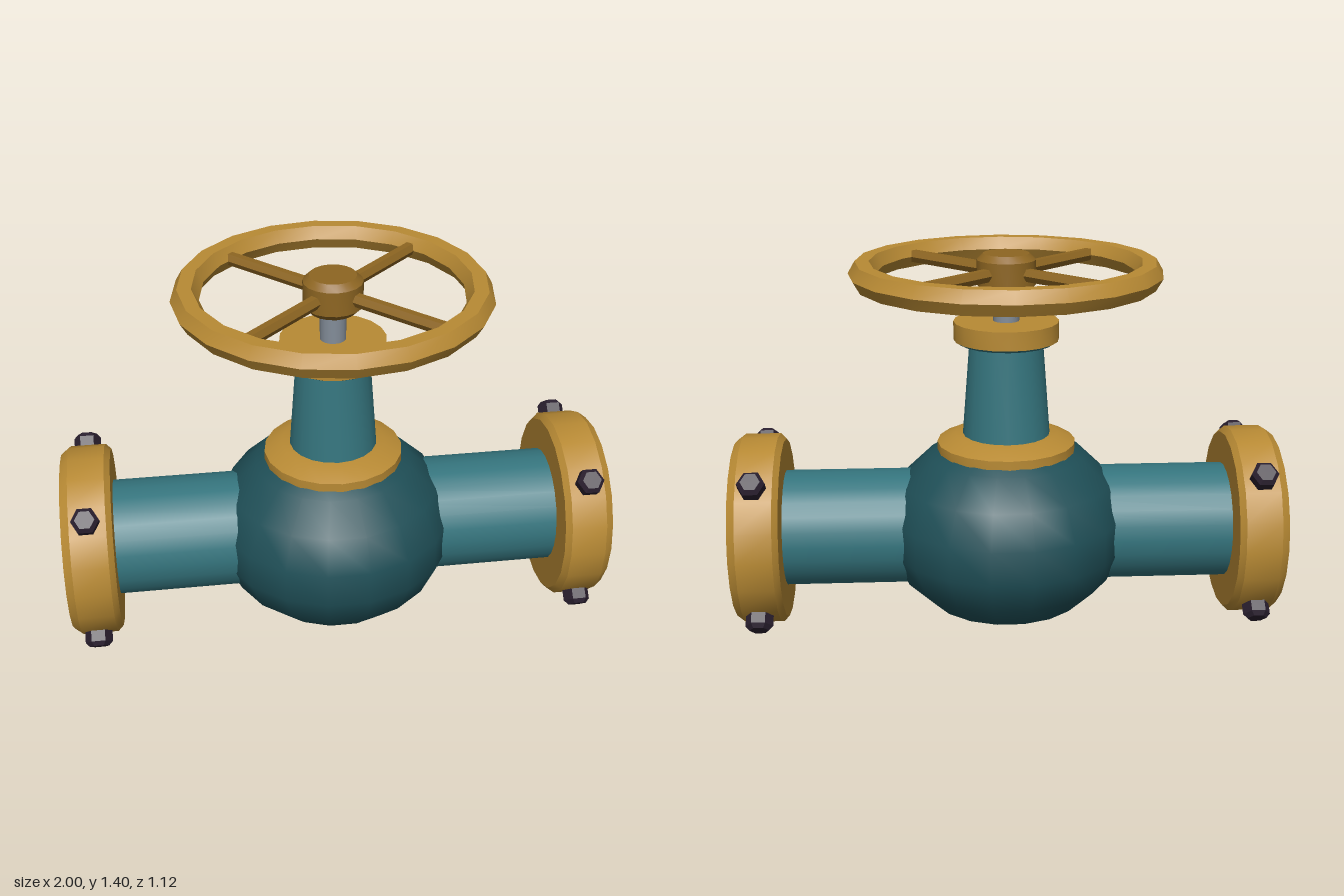
import * as THREE from 'three';
import { toCreasedNormals } from 'three/addons/utils/BufferGeometryUtils.js';

function mat(name, color) {
  const m = new THREE.MeshStandardMaterial({ color });
  m.name = name;
  return m;
}

// Solid of revolution from [radius, height] pairs, listed bottom to top
function turned(profile, sides) {
  const points = profile.map(([r, y]) => new THREE.Vector2(r, y));
  return toCreasedNormals(new THREE.LatheGeometry(points, sides), 0.5);
}

export function createModel() {
  const brass = mat('brass', 0xb88a34);
  const darkBrass = mat('dark brass', 0x8e6622);
  const teal = mat('teal', 0x35757e);
  const deepTeal = mat('deep teal', 0x1f4f57);
  const steel = mat('steel', 0x838d99);
  const boltMetal = mat('bolt metal', 0x2b2030);

  const model = new THREE.Group();
  model.name = 'valve';
  const add = (name, geometry, material, parent = model) => {
    const mesh = new THREE.Mesh(geometry, material);
    mesh.name = name;
    parent.add(mesh);
    return mesh;
  };
  const axisY = 0.377;

  // Squashed globe body
  const body = add('body', new THREE.SphereGeometry(0.452, 18, 9), deepTeal);
  body.scale.y = 0.82;
  body.position.y = 0.375;

  // Pipe, end flange and four radial bolts on each side
  const pipeGeo = new THREE.CylinderGeometry(0.215, 0.215, 0.65, 24, 1, true);
  const flangeGeo = turned([[0, 0.82], [0.333, 0.82], [0.353, 0.84], [0.353, 0.97], [0.33, 1], [0, 1]], 20);
  const boltGeo = turned([[0, -0.04], [0.035, -0.04], [0.05, -0.022], [0.05, 0.02], [0.035, 0.036], [0, 0.036]], 6);
  for (const side of [1, -1]) {
    const end = new THREE.Group();
    end.name = side > 0 ? 'leftEnd' : 'rightEnd';
    end.position.y = axisY;
    end.rotation.z = -side * Math.PI / 2;
    model.add(end);
    add('pipe', pipeGeo, teal, end).position.y = 0.525;
    add('flange', flangeGeo, brass, end);
    for (let i = 0; i < 4; i++) {
      const a = Math.PI / 4 + i * Math.PI / 2;
      const bolt = add('flangeBolt', boltGeo, boltMetal, end);
      const out = new THREE.Vector3(Math.cos(a), 0, Math.sin(a));
      const tangent = new THREE.Vector3().crossVectors(out, new THREE.Vector3(0, 1, 0));
      // Bolt height points outward, one hexagon corner along the pipe
      bolt.quaternion.setFromRotationMatrix(
        new THREE.Matrix4().makeBasis(tangent, out, new THREE.Vector3(0, 1, 0)));
      bolt.position.set(out.x * 0.368, 0.91, out.z * 0.368);
    }
  }

  // Bonnet: collar, tapering neck with flared top, gland ring
  add('bonnetCollar', turned([[0, 0.675], [0.255, 0.675], [0.255, 0.708], [0.19, 0.738], [0, 0.738]], 20), brass);
  add('bonnetNeck', turned([[0.161, 0.73], [0.134, 1.08], [0.175, 1.082], [0.19, 1.094]], 20), teal);
  add('glandRing', turned([[0, 1.092], [0.191, 1.092], [0.191, 1.16], [0, 1.16]], 20), brass);

  // Stem
  add('stem', new THREE.CylinderGeometry(0.047, 0.047, 0.2, 16), steel).position.y = 1.22;

  // Handwheel
  const wheel = new THREE.Group();
  wheel.name = 'handwheel';
  wheel.position.y = 1.337;
  model.add(wheel);
  const rimGeo = toCreasedNormals(new THREE.TorusGeometry(0.512, 0.05, 6, 20), 0.5);
  add('rim', rimGeo, brass, wheel).rotation.x = Math.PI / 2;
  add('hub', turned([[0, -0.067], [0.083, -0.067], [0.106, -0.044], [0.106, 0.045], [0.083, 0.067], [0, 0.067]], 18),
    darkBrass, wheel);
  const spokeGeo = new THREE.CylinderGeometry(0.025, 0.025, 0.42, 6);
  spokeGeo.translate(0, 0.28, 0);
  spokeGeo.rotateZ(-Math.PI / 2);
  const spokeShape = toCreasedNormals(spokeGeo, 0.5);
  for (let i = 0; i < 4; i++) {
    add('spoke', spokeShape, darkBrass, wheel).rotation.y = Math.PI / 4 + i * Math.PI / 2;
  }
  return model;
}
